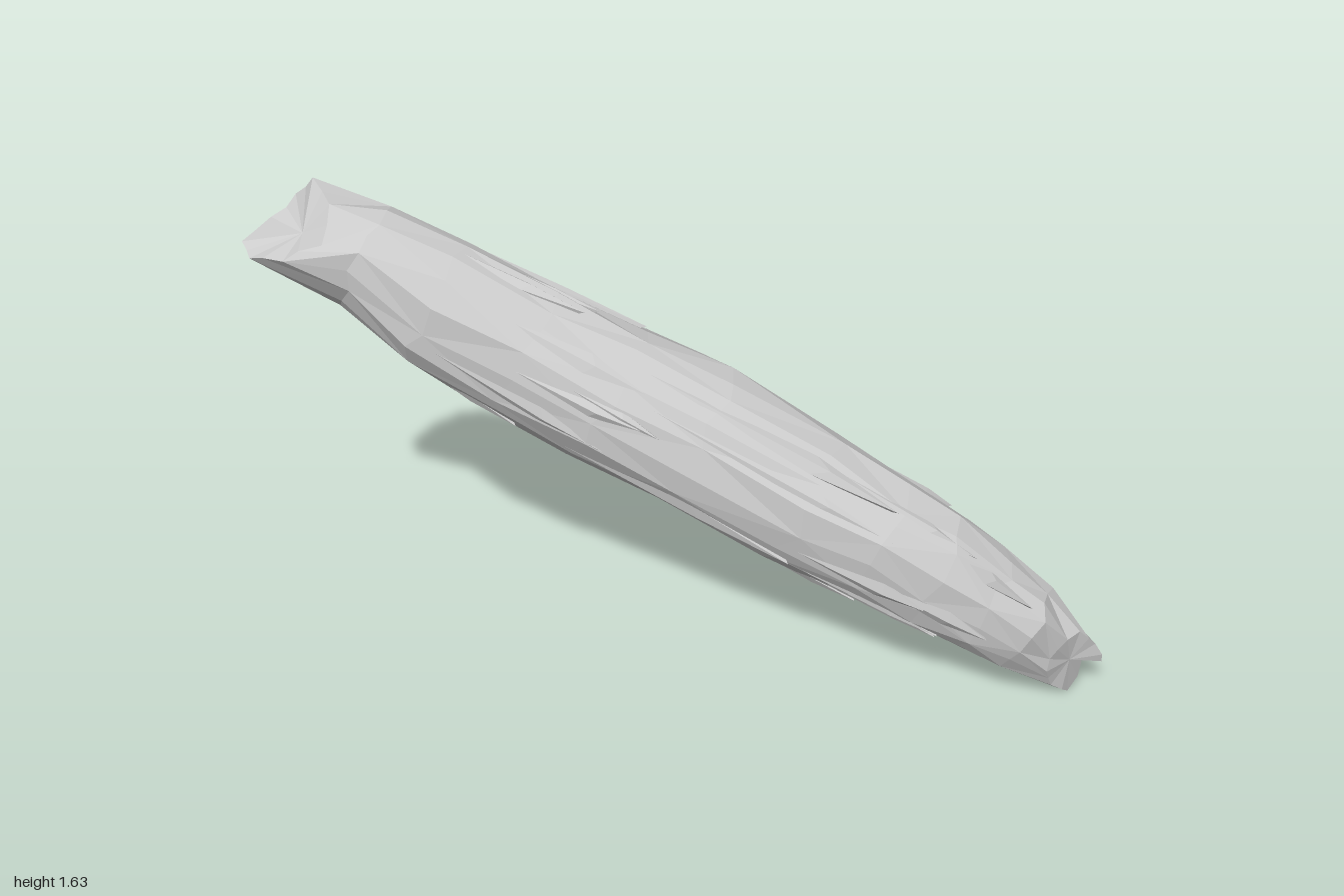
import * as THREE from 'three';

// Centre x, y, z and radius along the log, from the high end to the low end
const STATIONS = [
  [-0.76, 1.4, 0.64, 0.166], [-0.6, 1.248, 0.487, 0.201], [-0.4, 1.1, 0.297, 0.218], [-0.2, 0.967, 0.115, 0.231],
  [0, 0.845, -0.065, 0.234], [0.28, 0.66, -0.29, 0.222], [0.46, 0.55, -0.433, 0.208], [0.6, 0.452, -0.557, 0.192],
  [0.72, 0.355, -0.665, 0.173], [0.83, 0.258, -0.77, 0.15],
];
// Rims of the two broken ends, eight points each, starting on the front left
const UPPER_RIM = [
  [-0.77, 1.45, 0.91], [-0.72, 1.49, 0.8], [-0.78, 1.585, 0.73], [-0.89, 1.63, 0.72],
  [-0.975, 1.55, 0.74], [-1, 1.485, 0.82], [-0.95, 1.46, 0.95], [-0.87, 1.44, 0.97],
];
const LOWER_RIM = [
  [0.945, 0.14, -0.77], [0.955, 0.22, -0.8], [0.97, 0.265, -0.88], [0.99, 0.2, -0.94],
  [1, 0.12, -0.97], [0.925, 0.09, -0.965], [0.94, 0, -0.89], [0.935, 0.06, -0.81],
];
const SIDES = 16;

// Shared axis of the log and the two directions across it
const axis = new THREE.Vector3(1.85, -1.42, -1.7).normalize();
const across = new THREE.Vector3(-axis.z, 0, axis.x).normalize();
const upward = new THREE.Vector3().crossVectors(across, axis).normalize();

function seeded(seed) {
  return () => {
    seed = (seed * 16807) % 2147483647;
    return seed / 2147483647;
  };
}

// Point on the log: s in stations, t the angle round it, h the height over the bark
function surface(s, t, h = 0) {
  const i = Math.min(Math.floor(s), STATIONS.length - 2);
  const [x, y, z, r] = STATIONS[i].map((a, k) => THREE.MathUtils.lerp(a, STATIONS[i + 1][k], s - i));
  return new THREE.Vector3(x, y, z)
    .addScaledVector(across, Math.cos(t) * (r * 0.94 + h))
    .addScaledVector(upward, Math.sin(t) * (r * 1.05 + h));
}

function geometryFrom(points, faces) {
  const geo = new THREE.BufferGeometry().setFromPoints(points);
  geo.setIndex(faces);
  const flat = geo.toNonIndexed();
  flat.computeVertexNormals();
  return flat;
}

// Rim points with a small notch between each pair
function rimRing(rim, rand) {
  const corners = rim.map((p) => new THREE.Vector3(...p));
  return corners.flatMap((p, j) => {
    const notch = p.clone().lerp(corners[(j + 1) % corners.length], 0.5);
    return [p, notch.addScaledVector(axis, (rand() - 0.5) * 0.03)];
  });
}

function bodyRing(i, rand) {
  return Array.from({ length: SIDES }, (_, j) => {
    const t = ((j + (rand() - 0.5) * 0.5) / SIDES) * Math.PI * 2;
    return surface(i, t, (rand() - 0.5) * 0.018).addScaledVector(axis, (rand() - 0.5) * 0.05);
  });
}

function barkGeometry(rings) {
  const faces = [];
  for (let i = 0; i < rings.length - 1; i++) {
    for (let j = 0; j < SIDES; j++) {
      const k = (j + 1) % SIDES;
      const a = i * SIDES + j, b = a + SIDES, c = i * SIDES + k, d = c + SIDES;
      // Alternate the diagonals for an uneven, split look
      if ((i * 3 + j) % 2) faces.push(a, b, c, c, b, d);
      else faces.push(a, b, d, a, d, c);
    }
  }
  return geometryFrom(rings.flat(), faces);
}

// Broken end face, with its middle moved along the axis into the log
function endGeometry(ring, shift) {
  const middle = ring.reduce((sum, p) => sum.add(p), new THREE.Vector3()).divideScalar(SIDES);
  middle.addScaledVector(axis, shift);
  const faces = [];
  for (let j = 0; j < SIDES; j++) {
    const k = (j + 1) % SIDES;
    faces.push(SIDES, shift < 0 ? k : j, shift < 0 ? j : k);
  }
  return geometryFrom([...ring, middle], faces);
}

// Long bark splinters: a pointed nose in the bark and a lifted, broken tail
function splinterGeometry(rand, count) {
  const points = [], faces = [];
  for (let n = 0; n < count; n++) {
    const length = 1 + rand() * 1.8;
    const s = rand() * (STATIONS.length - 1.3 - length);
    const t = n * 2.4 + rand() * 0.4;
    const w = 0.08 + rand() * 0.1;
    const skew = (rand() - 0.5) * 0.12;
    const lift = 0.006 + rand() * 0.007;
    const e = s + length;
    const o = points.length;
    points.push(
      surface(s, t, -0.006), surface(s + length * 0.6, t + w + skew, -0.004),
      surface(s + length * 0.6, t - w + skew, -0.004), surface(s + length * 0.65, t + skew, lift),
      surface(e, t + skew * 2, lift * 0.6), surface(e - 0.1, t + skew * 2, -0.02),
    );
    const tri = [0, 3, 1, 0, 2, 3, 1, 3, 4, 2, 4, 3, 1, 4, 5, 2, 5, 4];
    faces.push(...tri.map((v) => v + o));
  }
  return geometryFrom(points, faces);
}

export function createModel() {
  const rand = seeded(4711);
  const wood = new THREE.MeshStandardMaterial({ color: 0xcccccc, flatShading: true, side: THREE.DoubleSide });
  wood.name = 'pale grey wood';

  const log = new THREE.Group();
  log.name = 'fallenLog';
  const add = (name, geo) => {
    const mesh = new THREE.Mesh(geo, wood);
    mesh.name = name;
    log.add(mesh);
  };

  const upper = rimRing(UPPER_RIM, rand);
  const lower = rimRing(LOWER_RIM, rand);
  const body = STATIONS.map((_, i) => bodyRing(i, rand));
  add('bark', barkGeometry([upper, ...body, lower]));
  add('upperEnd', endGeometry(upper, 0.05));
  add('lowerEnd', endGeometry(lower, -0.015));
  add('barkSplinters', splinterGeometry(rand, 32));
  return log;
}
